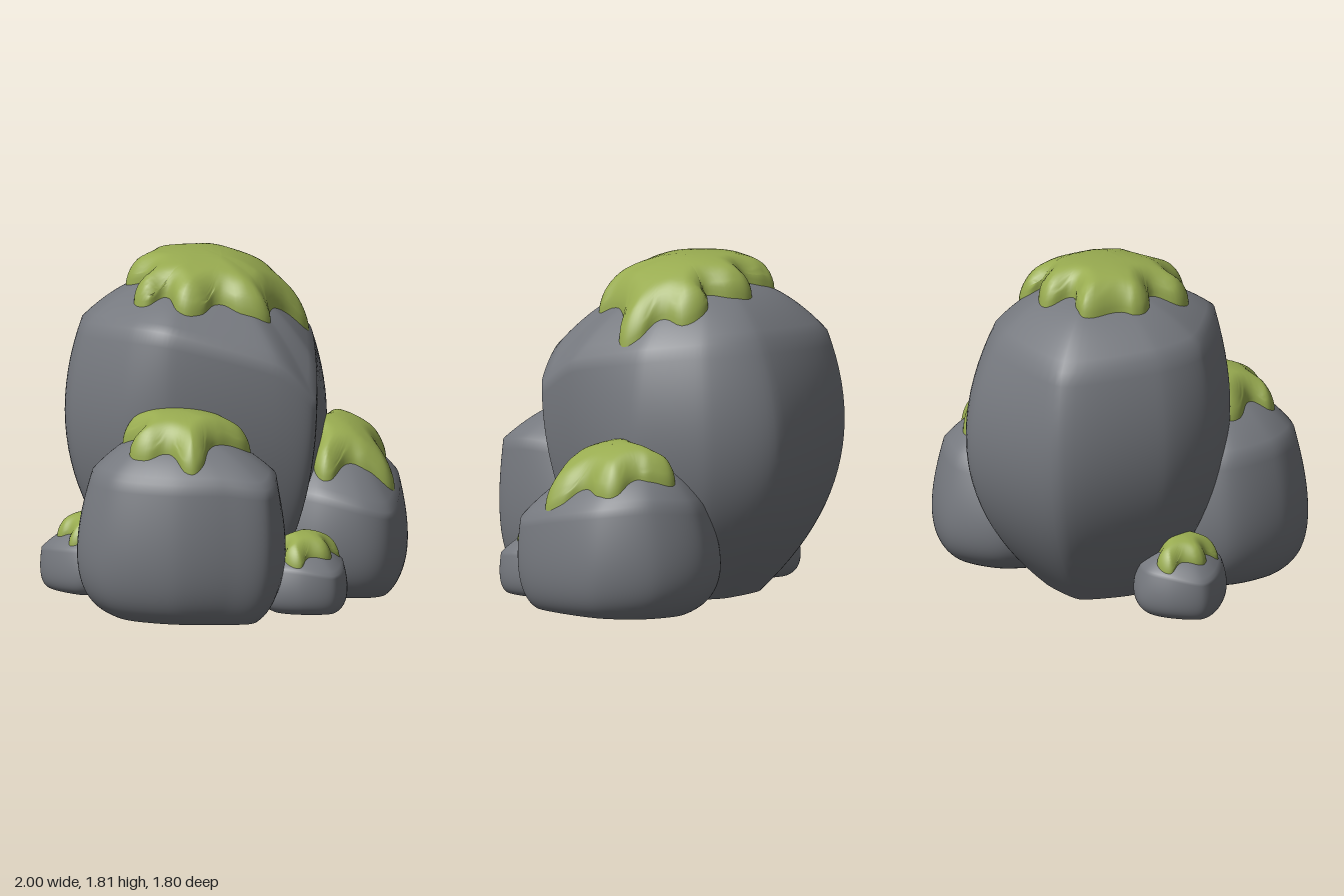
import * as THREE from 'three';

const stone = new THREE.MeshStandardMaterial({ color: 0x75787e });
stone.name = 'stone grey';
const green = new THREE.MeshStandardMaterial({ color: 0x98ab50 });
green.name = 'moss green';

// Joins closed rows of points, listed from the top down, into one skin
function skin(rows, material, name) {
  const n = rows[0].length;
  const index = [];
  for (let r = 0; r < rows.length - 1; r++) {
    for (let i = 0; i < n; i++) {
      const a = r * n + i, b = r * n + (i + 1) % n;
      index.push(a, b, b + n, a, b + n, a + n);
    }
  }
  const geometry = new THREE.BufferGeometry().setFromPoints(rows.flat());
  geometry.setIndex(index);
  geometry.computeVertexNormals();
  const mesh = new THREE.Mesh(geometry, material);
  mesh.name = name;
  return mesh;
}

function closedCurve(points, tension, count) {
  const curve = new THREE.CatmullRomCurve3(points, true, 'catmullrom', tension);
  return Array.from({ length: count }, (_, i) => curve.getPoint(i / count));
}

// Boulder: domed top down to a rim of [x, y, z, bulge], then bulging sides to a flat base.
// Rims and moss outlines run front, -x side, back, +x side.
function makeRock({ name, centre, top, rim, base, belly, dome = 2.2, tension = 0.45 }) {
  const [cx, cz] = centre;
  const ring = (height, scale) => closedCurve(rim.map(([x, y, z, f]) => {
    const k = scale(f);
    return new THREE.Vector3(cx + (x - cx) * k, y * height, cz + (z - cz) * k);
  }), tension, 110);
  const rimRing = ring(1, () => 1);
  const bellyRing = ring(belly, (f) => f);
  const baseRing = ring(0, () => base);
  const apex = new THREE.Vector3(...top);
  const rows = [];
  for (let i = 0; i <= 14; i++) {
    const s = 1 - i / 14;
    rows.push(rimRing.map((p) => {
      const q = p.clone().lerp(apex, s);
      q.y = p.y + (apex.y - p.y) * (1 - (1 - s) ** dome);
      return q;
    }));
  }
  for (let i = 1; i <= 22; i++) {
    const s = i / 22;
    rows.push(rimRing.map((p, j) => p.clone().multiplyScalar((1 - s) ** 2)
      .addScaledVector(bellyRing[j], 2 * s * (1 - s))
      .addScaledVector(baseRing[j], s * s)));
  }
  // Repeated base row keeps the bottom edge sharp
  rows.push(baseRing.map((p) => p.clone()));
  rows.push(baseRing.map(() => new THREE.Vector3(cx, 0, cz)));
  return skin(rows, stone, name);
}

// Moss: a lobed cushion draped on the rock below it, rounded off towards its outline
function makeMoss({ name, rock, centre, outline, thick }) {
  const mid = new THREE.Vector3(centre[0], 0, centre[1]);
  const edge = closedCurve(outline.map(([x, z]) => new THREE.Vector3(x, 0, z)), 0.65, 140);
  const ray = new THREE.Raycaster();
  const down = new THREE.Vector3(0, -1, 0);
  const steps = 18;
  const rows = [];
  for (let i = 0; i <= steps; i++) {
    const s = 1 - (1 - i / steps) ** 1.7;
    rows.push(edge.map((p, j) => {
      const q = mid.clone().lerp(p, s);
      const gap = Math.min(...edge.map((e) => e.distanceTo(q)));
      const inner = 1 - Math.min(1, gap / (thick * 0.85));
      const lift = thick * Math.sqrt(1 - inner * inner);
      ray.set(new THREE.Vector3(q.x, 3, q.z), down);
      const hit = ray.intersectObject(rock)[0];
      q.y = hit ? hit.point.y + lift - 0.005 : rows[i - 1][j].y - 0.02;
      return q;
    }));
  }
  return skin(rows, green, name);
}

export function createModel() {
  const model = new THREE.Group();
  model.name = 'mossyRocks';

  // Tall rear boulder
  const main = makeRock({
    name: 'tallRock', centre: [0.1, -0.1], top: [0.1, 1.69, -0.2], base: 0.51, belly: 0.44,
    dome: 2.4, tension: 0.32,
    rim: [[0, 1.13, 0.68, 1], [-0.15, 1.32, 0.55, 1.08], [-0.48, 1.48, 0.1, 1.28],
      [-0.52, 1.49, -0.13, 1.42], [-0.45, 1.46, -0.5, 1.42], [-0.23, 1.44, -0.69, 1.42],
      [0.27, 1.4, -0.81, 1.4], [0.62, 1.43, -0.37, 1.73], [0.64, 1.42, -0.06, 1.68],
      [0.51, 1.38, 0.25, 1.5], [0.18, 1.28, 0.55, 1.1]],
  });
  model.add(main, makeMoss({
    name: 'tallRockMoss', rock: main, centre: [0.07, 0], thick: 0.13,
    outline: [[0, 0.37], [-0.1, 0.28], [-0.15, 0.15], [-0.28, 0.13], [-0.35, 0.04], [-0.29, -0.09],
      [-0.38, -0.16], [-0.34, -0.27], [-0.19, -0.29], [-0.18, -0.42], [-0.12, -0.49], [-0.02, -0.49],
      [0.14, -0.55], [0.2, -0.48], [0.23, -0.36], [0.36, -0.38], [0.41, -0.27], [0.38, -0.12],
      [0.48, -0.11], [0.52, 0.02], [0.43, 0.13], [0.44, 0.26], [0.37, 0.34], [0.23, 0.29], [0.09, 0.31]],
  }));

  // Front boulder on the -x side
  const rightRock = makeRock({
    name: 'rightRock', centre: [-0.52, 0.2], top: [-0.52, 0.98, 0.15], base: 0.82, belly: 0.16,
    rim: [[-0.53, 0.74, 0.77, 1.13], [-0.69, 0.77, 0.61, 1.25], [-0.84, 0.77, 0.41, 1.36],
      [-0.92, 0.77, 0.2, 1.42], [-0.93, 0.77, 0.03, 1.42], [-0.83, 0.76, -0.16, 1.42],
      [-0.58, 0.74, -0.31, 1.38], [-0.26, 0.74, -0.22, 1.4], [-0.1, 0.74, 0.1, 1.5],
      [-0.13, 0.76, 0.45, 1.45], [-0.34, 0.77, 0.69, 1.2]],
  });
  model.add(rightRock, makeMoss({
    name: 'rightRockMoss', rock: rightRock, centre: [-0.53, 0.19], thick: 0.12,
    outline: [[-0.48, 0.45], [-0.58, 0.43], [-0.7, 0.47], [-0.77, 0.42], [-0.74, 0.28], [-0.82, 0.18],
      [-0.81, 0.07], [-0.7, 0.05], [-0.65, -0.1], [-0.55, -0.12], [-0.47, -0.03], [-0.35, -0.08],
      [-0.27, 0.02], [-0.32, 0.15], [-0.25, 0.25], [-0.28, 0.36], [-0.28, 0.46], [-0.36, 0.5]],
  }));

  // Front boulder on the +x side
  const leftRock = makeRock({
    name: 'leftRock', centre: [0.6, 0.4], top: [0.58, 0.81, 0.28], base: 0.84, belly: 0.18,
    rim: [[0.4, 0.47, 0.88, 1.1], [0.25, 0.51, 0.8, 1.15], [0.14, 0.57, 0.58, 1.3],
      [0.14, 0.57, 0.3, 1.38], [0.3, 0.57, 0.02, 1.4], [0.6, 0.57, -0.07, 1.42],
      [0.85, 0.59, 0.05, 1.42], [0.93, 0.62, 0.3, 1.44], [0.85, 0.59, 0.56, 1.42],
      [0.63, 0.53, 0.76, 1.25]],
  });
  model.add(leftRock, makeMoss({
    name: 'leftRockMoss', rock: leftRock, centre: [0.58, 0.44], thick: 0.11,
    outline: [[0.53, 0.78], [0.44, 0.69], [0.37, 0.61], [0.23, 0.6], [0.23, 0.5], [0.36, 0.4],
      [0.32, 0.27], [0.42, 0.2], [0.54, 0.28], [0.66, 0.22], [0.72, 0.14], [0.81, 0.15],
      [0.82, 0.27], [0.8, 0.36], [0.84, 0.47], [0.78, 0.55], [0.67, 0.6], [0.62, 0.72]],
  }));

  // Two small stones, one in front and one behind
  const stoneSpots = [['frontStone', -0.035, 0.65, 0], ['backStone', -0.365, -0.57, Math.PI + 0.75]];
  for (const [name, x, z, turn] of stoneSpots) {
    const group = new THREE.Group();
    group.name = name;
    const rock = makeRock({
      name: 'smallRock', centre: [0, 0], top: [0.01, 0.34, -0.03], base: 0.88, belly: 0.18,
      rim: [[-0.06, 0.21, 0.23, 1.1], [-0.18, 0.24, 0.1, 1.3], [-0.22, 0.25, -0.05, 1.35],
        [-0.11, 0.25, -0.21, 1.35], [0.09, 0.25, -0.23, 1.35], [0.22, 0.25, -0.1, 1.35],
        [0.22, 0.25, 0.05, 1.35], [0.08, 0.23, 0.19, 1.2]],
    });
    group.add(rock, makeMoss({
      name: 'smallRockMoss', rock, centre: [0, 0], thick: 0.075,
      outline: [[-0.02, 0.15], [-0.09, 0.09], [-0.17, 0.09], [-0.18, 0], [-0.11, -0.05], [-0.1, -0.14],
        [0, -0.11], [0.1, -0.14], [0.13, -0.04], [0.18, 0.02], [0.16, 0.1], [0.08, 0.09], [0.04, 0.14]],
    }));
    group.position.set(x, 0, z);
    group.rotation.y = turn;
    model.add(group);
  }
  return model;
}
